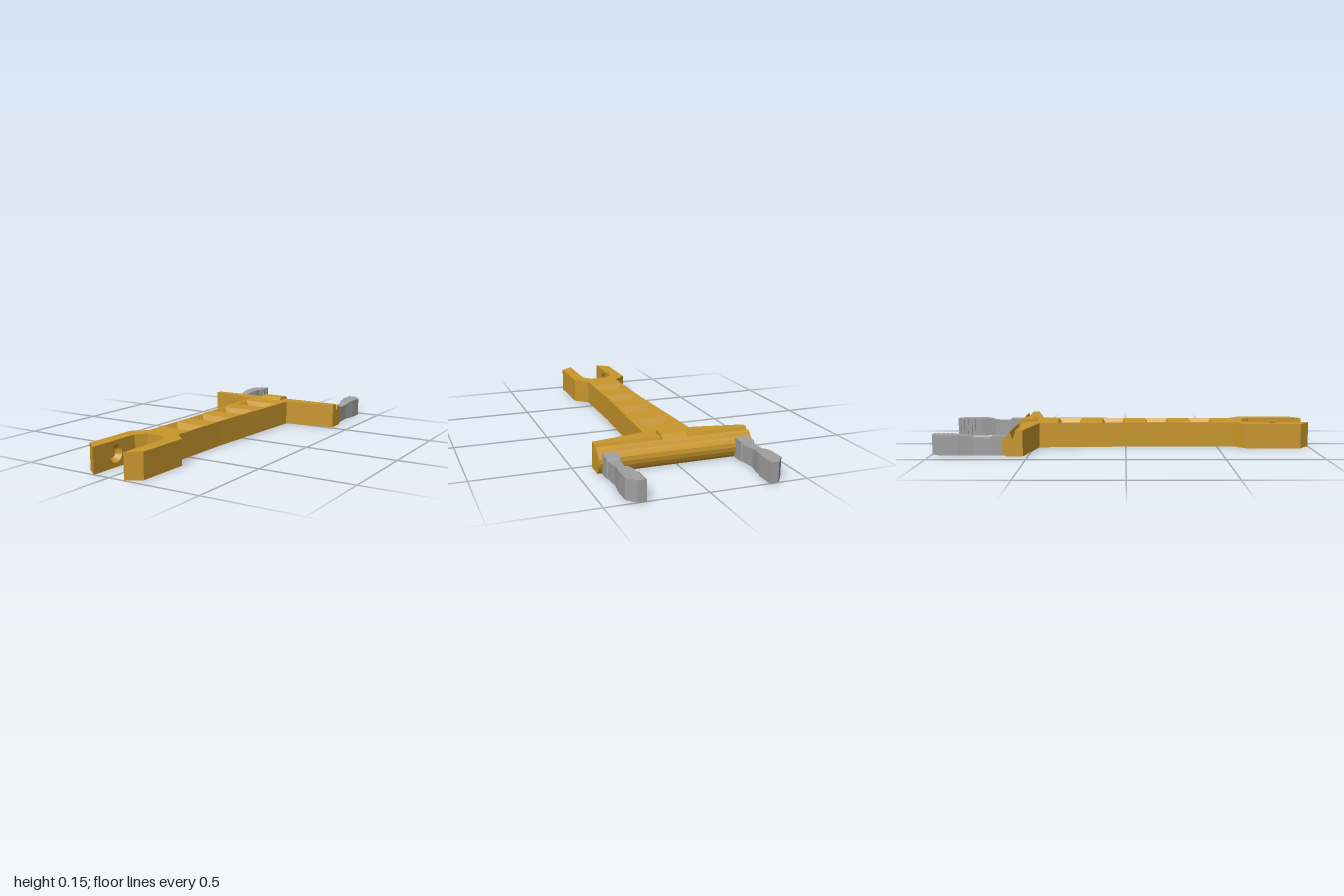
import * as THREE from 'three';
import { toCreasedNormals } from 'three/addons/utils/BufferGeometryUtils.js';

const H = 0.133; // body thickness

// Flat-shaded skin over rings of corners, closed at the last ring
function loft(rings) {
  const pos = [];
  const tri = (...p) => p.forEach((v) => pos.push(...v));
  for (let i = 0; i + 1 < rings.length; i++) {
    for (let j = 0; j < 4; j++) {
      const k = (j + 1) % 4;
      const a = rings[i][j], b = rings[i][k], c = rings[i + 1][k], d = rings[i + 1][j];
      tri(a, d, c);
      tri(a, c, b);
    }
  }
  const e = rings[rings.length - 1];
  tri(e[0], e[3], e[2]);
  tri(e[0], e[2], e[1]);
  const g = new THREE.BufferGeometry();
  g.setAttribute('position', new THREE.Float32BufferAttribute(pos, 3));
  g.computeVertexNormals();
  return g;
}

// Rectangle at height y, half width w, between z0 and z1
const rect = (w, y, z0, z1) => [[-w, y, z0], [-w, y, z1], [w, y, z1], [w, y, z0]];

// Profile of [distance towards the back, height] swept across the width
function across(profile, width) {
  const shape = new THREE.Shape(profile.map(([u, y]) => new THREE.Vector2(u, y)));
  return new THREE.ExtrudeGeometry(shape, { depth: width, bevelEnabled: false })
    .translate(0, 0, -width / 2).rotateY(Math.PI / 2);
}

export function createModel() {
  const model = new THREE.Group();
  const gold = new THREE.MeshStandardMaterial({ color: 0xc8962c, side: THREE.DoubleSide });
  const grey = new THREE.MeshStandardMaterial({ color: 0xa0a0a0 });
  gold.name = 'gold';
  grey.name = 'grey';
  const add = (name, geometry, material, parent = model) => {
    const mesh = new THREE.Mesh(geometry, material);
    mesh.name = name;
    parent.add(mesh);
    return mesh;
  };

  // Plan outline of fork, stem and shoulders
  const half = [[0.05, 0.65], [0.09, 0.7], [0.09, 1], [0.16, 0.945], [0.16, 0.65],
    [0.092, 0.585], [0.094, 0.2], [0.125, -0.47], [0.405, -0.525]];
  const outline = [...half, ...half.map(([x, z]) => [-x, z]).reverse()];

  // Four tapered pockets along the stem
  const pockets = [[0.095, -0.375, -0.25], [0.091, -0.13, -0.008], [0.088, 0.112, 0.235], [0.085, 0.357, 0.48]];

  const top = new THREE.Shape(outline.map(([x, z]) => new THREE.Vector2(x, -z)));
  for (const [w, z0, z1] of pockets) {
    top.holes.push(new THREE.Path([[-w, -z0], [w, -z0], [w, -z1], [-w, -z1]]
      .map((p) => new THREE.Vector2(...p))));
    add('stemPocket', loft([rect(w, H, z0, z1), rect(w - 0.028, H - 0.04, z0 + 0.023, z1 - 0.023)]), gold);
  }
  add('bodyTop', new THREE.ShapeGeometry(top).rotateX(-Math.PI / 2).translate(0, H, 0), gold);
  const bottom = new THREE.Shape(outline.map(([x, z]) => new THREE.Vector2(x, z)));
  add('bodyBottom', new THREE.ShapeGeometry(bottom).rotateX(Math.PI / 2), gold);

  // Side walls; the inner fork faces have round openings for the sockets
  const socketZ = 0.84, socketR = 0.045;
  outline.forEach(([x, z], i) => {
    if (i === half.length - 1) return; // closed by the crossbar
    const [x2, z2] = outline[(i + 1) % outline.length];
    const length = Math.hypot(x2 - x, z2 - z);
    const wall = new THREE.Shape([[0, 0], [length, 0], [length, H], [0, H]].map((p) => new THREE.Vector2(...p)));
    if (x === x2 && Math.abs(x) === 0.09) {
      wall.holes.push(new THREE.Path().absarc(Math.abs(socketZ - z), H / 2, socketR, 0, Math.PI * 2));
    }
    const g = new THREE.ShapeGeometry(wall, 12).rotateY(Math.atan2(z - z2, x2 - x)).translate(x, 0, z);
    add('bodyWall', g, gold);
  });

  // Crossbar with a V groove and a rounded back
  add('crossbar', across([[0.525, 0], [0.612, 0], [0.623, 0.014], [0.632, 0.034], [0.636, 0.056],
    [0.632, 0.077], [0.622, 0.092], [0.61, 0.102], [0.6, 0.118], [0.589, 0.125], [0.577, 0.085],
    [0.561, H], [0.525, H]], 0.81), gold);
  add('centreClip', across([[0.492, 0.12], [0.492, H], [0.513, 0.147], [0.566, 0.147],
    [0.586, 0.135], [0.604, 0.112], [0.604, 0.09], [0.55, 0.09]], 0.132), gold);

  // Finger cross-sections: z, inner x, outer x, top
  const stations = [[-0.6, 0.313, 0.385, 0.1], [-0.688, 0.313, 0.385, 0.1], [-0.695, 0.319, 0.379, 0.088],
    [-0.78, 0.329, 0.373, 0.091], [-0.81, 0.323, 0.377, 0.1], [-0.86, 0.312, 0.385, 0.104],
    [-0.95, 0.312, 0.385, 0.104], [-1, 0.312, 0.345, 0.104]];
  const fingerShape = loft(stations.map(([z, a, b, h]) => [[a, 0, z], [b, 0, z], [b, h, z], [a, h, z]]));
  const socketShape = toCreasedNormals(new THREE.LatheGeometry([[socketR, 0], [0.028, 0.03], [0, 0.03]]
    .map((p) => new THREE.Vector2(...p)), 24).rotateZ(-Math.PI / 2), 0.5);

  // Mirrored pairs: fork sockets and gripping fingers with teeth
  for (const side of [1, -1]) {
    const pair = new THREE.Group();
    pair.name = side > 0 ? 'leftSide' : 'rightSide';
    pair.scale.x = side;
    model.add(pair);
    add('forkSocket', socketShape, gold, pair).position.set(0.09, H / 2, socketZ);
    add('finger', fingerShape, grey, pair);
    for (let i = 0; i < 5; i++) {
      add('fingerTooth', new THREE.BoxGeometry(0.016, 0.104, 0.013), grey, pair)
        .position.set(0.31, 0.052, -0.9935 + i * 0.022);
    }
  }
  return model;
}
